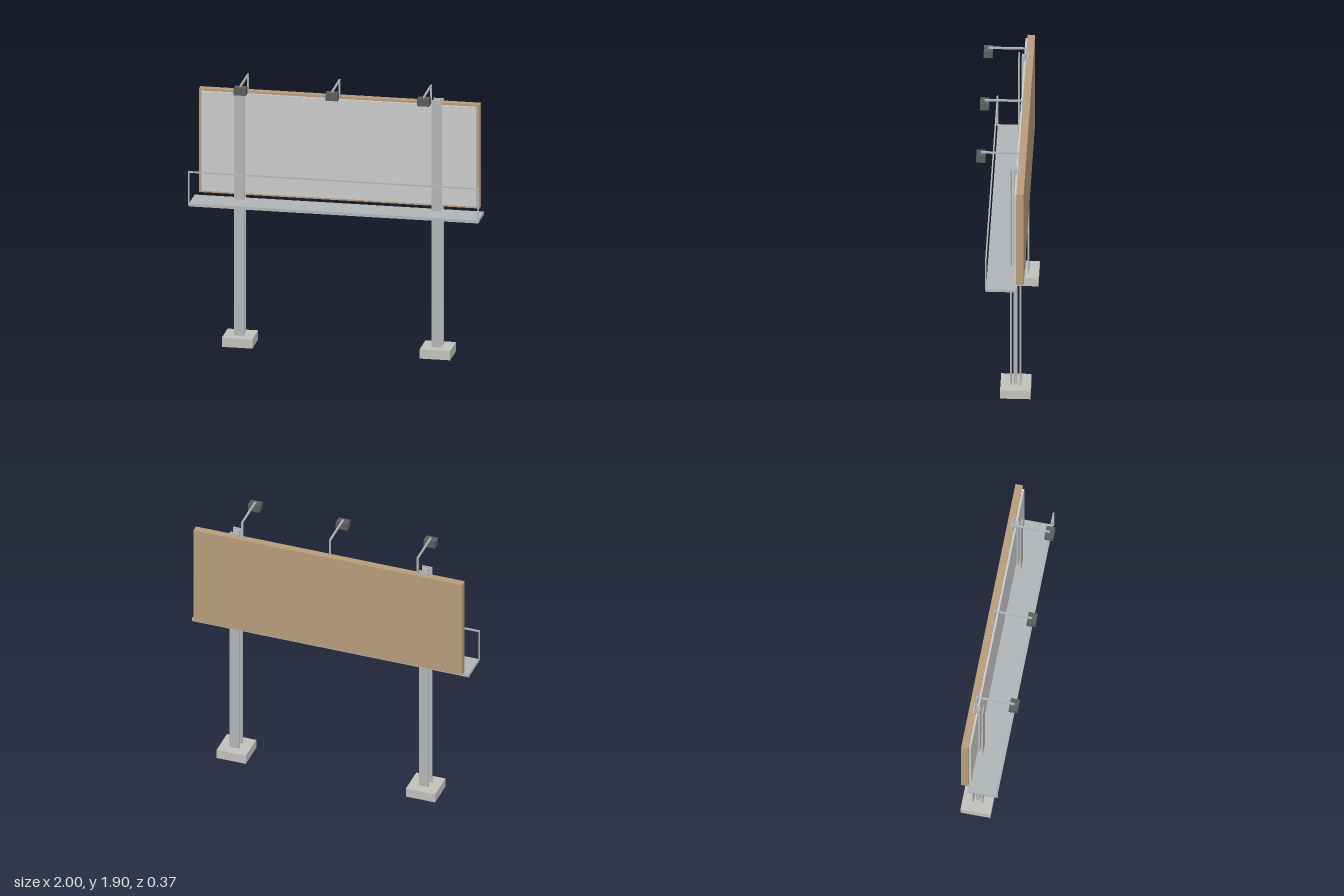
import * as THREE from 'three';

const material = (color) => new THREE.MeshStandardMaterial({ color });

export function createModel() {
  const model = new THREE.Group();
  const steel = material(0xb2b5b7);
  const concrete = material(0xc2c1bc);
  const timber = material(0xb89c7c);
  const sheet = material(0xcccccc);
  const dark = material(0x5c5c5e);

  // Box given by its extents along each axis
  function box(parent, name, mat, [x0, x1], [y0, y1], [z0, z1]) {
    const mesh = new THREE.Mesh(new THREE.BoxGeometry(x1 - x0, y1 - y0, z1 - z0), mat);
    mesh.position.set((x0 + x1) / 2, (y0 + y1) / 2, (z0 + z1) / 2);
    mesh.name = name;
    parent.add(mesh);
    return mesh;
  }
  const around = (c, half) => [c - half, c + half];
  function group(name) {
    const g = new THREE.Group();
    g.name = name;
    model.add(g);
    return g;
  }

  // Supports: footing, two wide plates and a narrower core between them
  for (const side of [-1, 1]) {
    const x = side * 0.68;
    const support = group(side > 0 ? 'leftSupport' : 'rightSupport');
    box(support, 'footing', concrete, around(x, 0.105), [0, 0.065], around(-0.082, 0.103));
    box(support, 'frontPlate', steel, around(x, 0.035), [0.065, 1.81], around(-0.05, 0.005));
    box(support, 'core', steel, around(x, 0.018), [0.065, 1.81], around(-0.081, 0.013));
    box(support, 'backPlate', steel, around(x, 0.035), [0.065, 1.81], around(-0.113, 0.005));
  }

  // Sign: deep frame with a thin sheet on its front
  const sign = group('sign');
  box(sign, 'signFrame', timber, [-0.965, 0.965], [1.05, 1.785], [-0.146, -0.096]);
  box(sign, 'signSheet', sheet, [-0.945, 0.945], [1.065, 1.77], [-0.096, -0.082]);

  // Walkway with a handrail along its front edge
  const walkway = group('walkway');
  box(walkway, 'deck', steel, [-0.995, 0.995], [1.01, 1.03], [-0.097, 0.107]);
  box(walkway, 'handrail', steel, [-1, 1], [1.25, 1.26], around(0.109, 0.005));
  for (const x of [-0.995, 0.995]) {
    box(walkway, 'railPost', steel, around(x, 0.005), [1.02, 1.255], around(0.109, 0.005));
  }

  // Three lamps on bent arms
  for (const x of [-0.63, 0, 0.63]) {
    const light = group('light');
    box(light, 'lampPole', steel, around(x, 0.006), [1.77, 1.905], around(-0.103, 0.006));
    box(light, 'lampArm', steel, around(x, 0.006), [1.893, 1.905], [-0.109, 0.156]);
    box(light, 'lampHead', dark, around(x, 0.042), [1.842, 1.893], [0.125, 0.186]);
  }

  return model;
}
